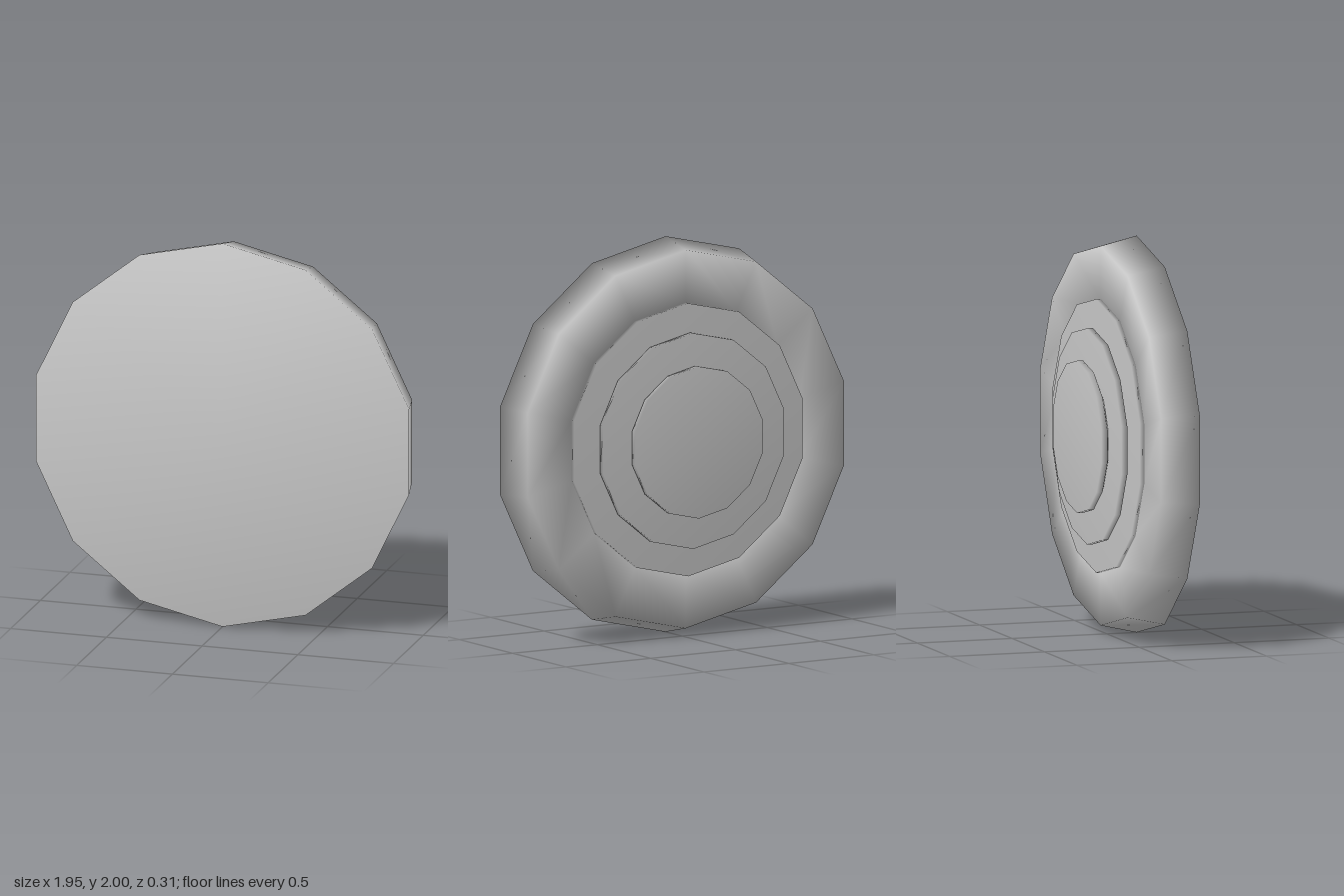
import * as THREE from 'three';

export function createModel() {
  const model = new THREE.Group();
  const grey = new THREE.MeshStandardMaterial({ color: 0xcccccc });
  grey.name = 'grey';

  // 14-sided turned part; profile is [radius, z] from back to front
  const addTurned = (name, profile) => {
    const geometry = new THREE.LatheGeometry(profile.map(([r, z]) => new THREE.Vector2(r, z)), 14);
    geometry.rotateX(Math.PI / 2);
    const mesh = new THREE.Mesh(geometry, grey);
    mesh.name = name;
    mesh.position.y = 1;
    model.add(mesh);
  };

  // Large tapered disc with a shallow recess behind the stepped plates
  addTurned('mainDisc', [[0, 0.05], [0.7, 0.05], [0.69, -0.033], [0.956, -0.033], [1, 0.157], [0, 0.157]]);

  // Flat plate closing the recess
  addTurned('basePlate', [[0, -0.056], [0.69, -0.056], [0.69, -0.03], [0, -0.03]]);

  // Stepped plates, chamfered on the side toward the main disc
  addTurned('middlePlate', [[0, -0.105], [0.545, -0.105], [0.545, -0.074], [0.465, -0.054], [0, -0.054]]);
  addTurned('rearPlate', [[0, -0.157], [0.384, -0.157], [0.384, -0.126], [0.335, -0.103], [0, -0.103]]);

  return model;
}
